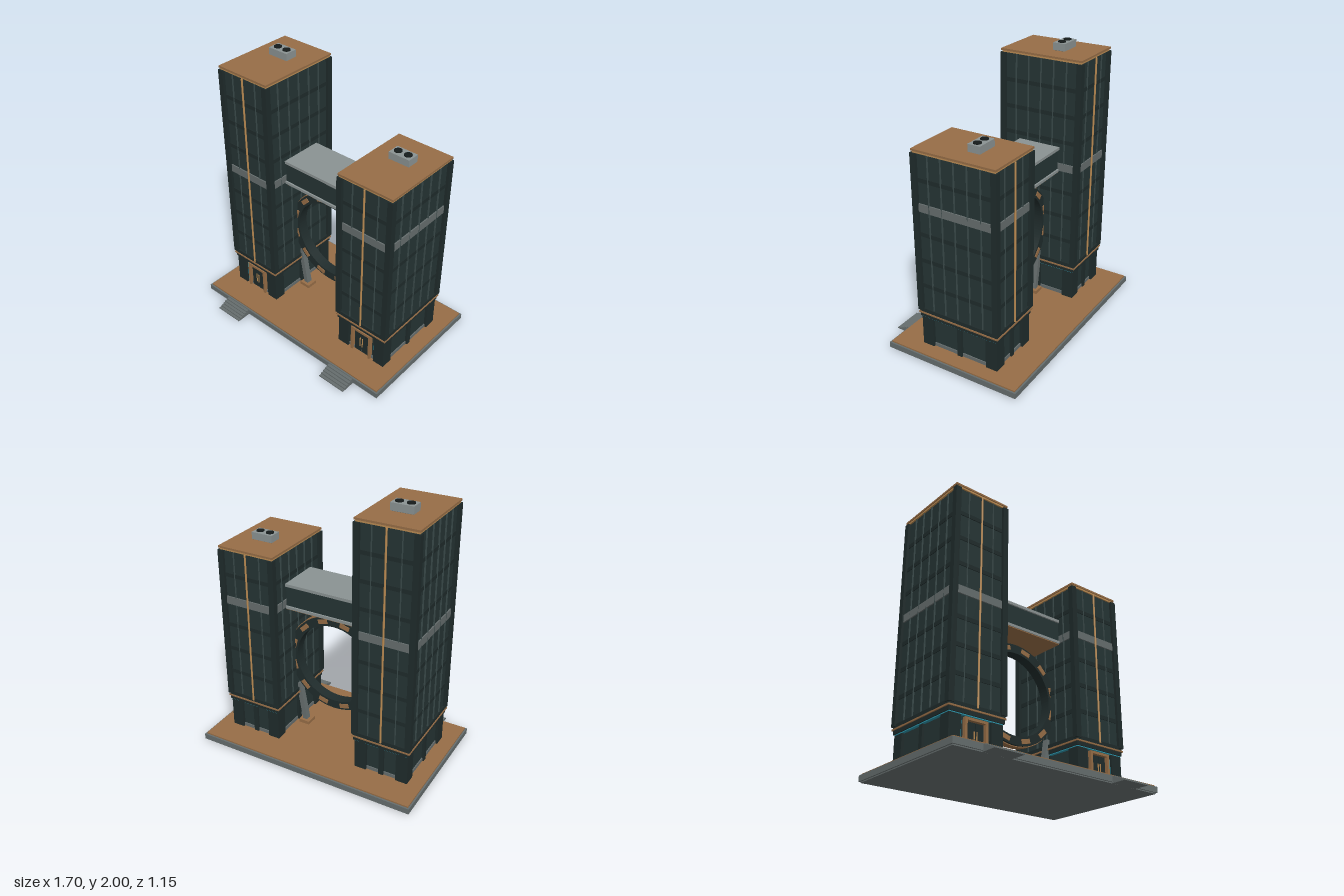
import * as THREE from 'three';

const mat = (name, color) => {
  const m = new THREE.MeshStandardMaterial({ color });
  m.name = name;
  return m;
};

export function createModel() {
  const frame = mat('dark frame', 0x1f2b2b);
  const glass = mat('dark glass', 0x253434);
  const mullionGrey = mat('mullion', 0x3a4a4a);
  const copper = mat('copper', 0x966d46);
  const brass = mat('bright copper', 0xb98a52);
  const grey = mat('concrete grey', 0x656d6d);
  const pale = mat('pale grey', 0x8a9292);
  const teal = mat('teal light', 0x2c93a8);
  const black = mat('fan black', 0x151b1b);
  const model = new THREE.Group();
  const ZC = -0.053;

  const add = (parent, name, geo, material, x = 0, y = 0, z = 0) => {
    const m = new THREE.Mesh(geo, material);
    m.name = name;
    m.position.set(x, y, z);
    parent.add(m);
    return m;
  };
  // box spanning y0..y1 with full width w and depth d
  const box = (parent, name, material, w, y0, y1, d, x = 0, z = 0) =>
    add(parent, name, new THREE.BoxGeometry(w, y1 - y0, d), material, x, (y0 + y1) / 2, z);

  // Plinth with copper deck
  box(model, 'plinth', grey, 1.7, 0.008, 0.05, 1.045, 0, ZC);
  box(model, 'plinthFoot', grey, 1.68, 0, 0.008, 1.025, 0, ZC);
  box(model, 'deck', copper, 1.676, 0.05, 0.06, 1.02, 0, ZC);

  // Entrance steps
  for (const s of [-1, 1]) {
    for (let i = 0; i < 5; i++) {
      const front = 0.575 - i * 0.021;
      box(model, 'step', grey, 0.22, i * 0.009, (i + 1) * 0.009, front - 0.46, s * 0.525, (front + 0.46) / 2);
    }
  }

  function tower(side, top) {
    const t = new THREE.Group();
    t.name = side < 0 ? 'tallTower' : 'shortTower';
    t.position.set(side * 0.527, 0, ZC);
    model.add(t);

    // Podium: recessed core, corner blocks and pilasters
    box(t, 'podiumCore', glass, 0.37, 0.06, 0.29, 0.57);
    box(t, 'podiumKerb', grey, 0.385, 0.06, 0.085, 0.585);
    for (const sx of [-1, 1]) {
      for (const sz of [-1, 1])
        box(t, 'podiumCorner', frame, 0.09, 0.06, 0.285, 0.09, sx * 0.161, sz * 0.262);
      box(t, 'sidePilaster', frame, 0.03, 0.06, 0.285, 0.036, sx * 0.188, 0);
    }
    box(t, 'backPilaster', frame, 0.036, 0.06, 0.285, 0.03, 0, -0.287);

    // Entrance doors
    for (const s of [-1, 1]) {
      box(t, 'doorJamb', copper, 0.018, 0.06, 0.275, 0.045, s * 0.079, 0.29);
      box(t, 'doorLeaf', frame, 0.056, 0.065, 0.255, 0.01, s * 0.031, 0.291);
      box(t, 'doorHandle', brass, 0.004, 0.12, 0.2, 0.008, s * 0.01, 0.299);
    }
    box(t, 'doorHead', copper, 0.176, 0.26, 0.278, 0.045, 0, 0.29);
    box(t, 'entranceLight', teal, 0.009, 0.09, 0.255, 0.008, side * 0.109, 0.29);

    // Belt course
    box(t, 'beltLight', teal, 0.414, 0.285, 0.292, 0.614);
    box(t, 'belt', frame, 0.428, 0.292, 0.32, 0.628);
    box(t, 'beltTrim', copper, 0.444, 0.32, 0.331, 0.644);
    box(t, 'shaftBase', frame, 0.432, 0.331, 0.36, 0.632);

    // Glazed shaft with corner posts
    box(t, 'shaft', glass, 0.408, 0.345, top - 0.02, 0.608);
    for (const sx of [-1, 1])
      for (const sz of [-1, 1])
        box(t, 'cornerPost', frame, 0.042, 0.345, top - 0.025, 0.042, sx * 0.204, sz * 0.304);

    // Floor bands, the fourth being a grey sky-lobby band
    for (let i = 0, y = 0.545; y < top - 0.1; i++, y += 0.195) {
      const lobby = i === 3;
      const h = lobby ? 0.029 : 0.015;
      const out = lobby ? 0.018 : 0.01;
      box(t, lobby ? 'lobbyBand' : 'floorBand', lobby ? grey : frame, 0.366, y - h, y + h, 0.608 + out);
      box(t, lobby ? 'lobbyBand' : 'floorBand', lobby ? grey : frame, 0.408 + out, y - h, y + h, 0.566);
    }

    // Mullions on all four faces
    for (const s of [-1, 1]) {
      for (const x of [-0.104, 0.104])
        box(t, 'mullion', mullionGrey, 0.006, 0.36, top - 0.025, 0.012, x, s * 0.306);
      for (let i = -2; i <= 2; i++)
        box(t, 'mullion', mullionGrey, 0.012, 0.36, top - 0.025, 0.007, s * 0.207, i * 0.1);
      add(t, 'copperRod', new THREE.CylinderGeometry(0.007, 0.007, top - 0.37, 10), brass,
        0, (top + 0.32) / 2, s * 0.319);
    }

    // Roof slab
    box(t, 'roofLine', brass, 0.43, top - 0.025, top - 0.012, 0.628);
    box(t, 'roofSlab', copper, 0.442, top - 0.012, top + 0.002, 0.64);

    // Rooftop cooling unit with twin fans
    box(t, 'coolingUnit', pale, 0.164, top + 0.006, top + 0.058, 0.094, 0, -0.068);
    box(t, 'coolingUnitFoot', grey, 0.15, top, top + 0.01, 0.08, 0, -0.068);
    for (const s of [-1, 1])
      add(t, 'fan', new THREE.CylinderGeometry(0.028, 0.028, 0.01, 20), black, s * 0.04, top + 0.06, -0.068);
  }
  tower(-1, 1.935);
  tower(1, 1.535);

  // Sky bridge
  const bridge = new THREE.Group();
  bridge.name = 'skyBridge';
  bridge.position.z = ZC;
  model.add(bridge);
  box(bridge, 'bridgeSoffit', copper, 0.625, 1.088, 1.094, 0.318);
  box(bridge, 'bridgeFloor', pale, 0.625, 1.094, 1.114, 0.33);
  box(bridge, 'bridgeGlazing', glass, 0.625, 1.114, 1.264, 0.306);
  box(bridge, 'bridgeRoof', pale, 0.625, 1.264, 1.285, 0.33);

  // Ring between the towers
  const ring = new THREE.Group();
  ring.name = 'ring';
  ring.position.set(0, 0.662, ZC);
  model.add(ring);
  const band = (name, r0, r1, d, material) => {
    const shape = new THREE.Shape().absarc(0, 0, r1, 0, Math.PI * 2, false);
    shape.holes.push(new THREE.Path().absarc(0, 0, r0, 0, Math.PI * 2, true));
    const geo = new THREE.ExtrudeGeometry(shape, { depth: d, bevelEnabled: false, curveSegments: 48 });
    geo.translate(0, 0, -d / 2);
    add(ring, name, geo, material);
  };
  band('ringBody', 0.307, 0.372, 0.08, frame);
  band('ringRim', 0.37, 0.378, 0.05, copper);
  for (let i = 0; i < 12; i++) {
    const a = (i + 0.5) * Math.PI / 6;
    const pad = add(ring, 'ringPanel', new THREE.BoxGeometry(0.034, 0.076, 0.09), copper,
      Math.cos(a) * 0.34, Math.sin(a) * 0.34, 0);
    pad.rotation.z = a;
  }

  // Slanted struts and copper feet
  for (const s of [-1, 1]) {
    box(model, 'strutFoot', copper, 0.086, 0.06, 0.086, 0.09, s * 0.264, ZC);
    const strut = add(model, 'strut', new THREE.BoxGeometry(0.036, 0.33, 0.045), grey, s * 0.293, 0.235, ZC);
    strut.rotation.z = s * -0.17;
  }
  return model;
}
